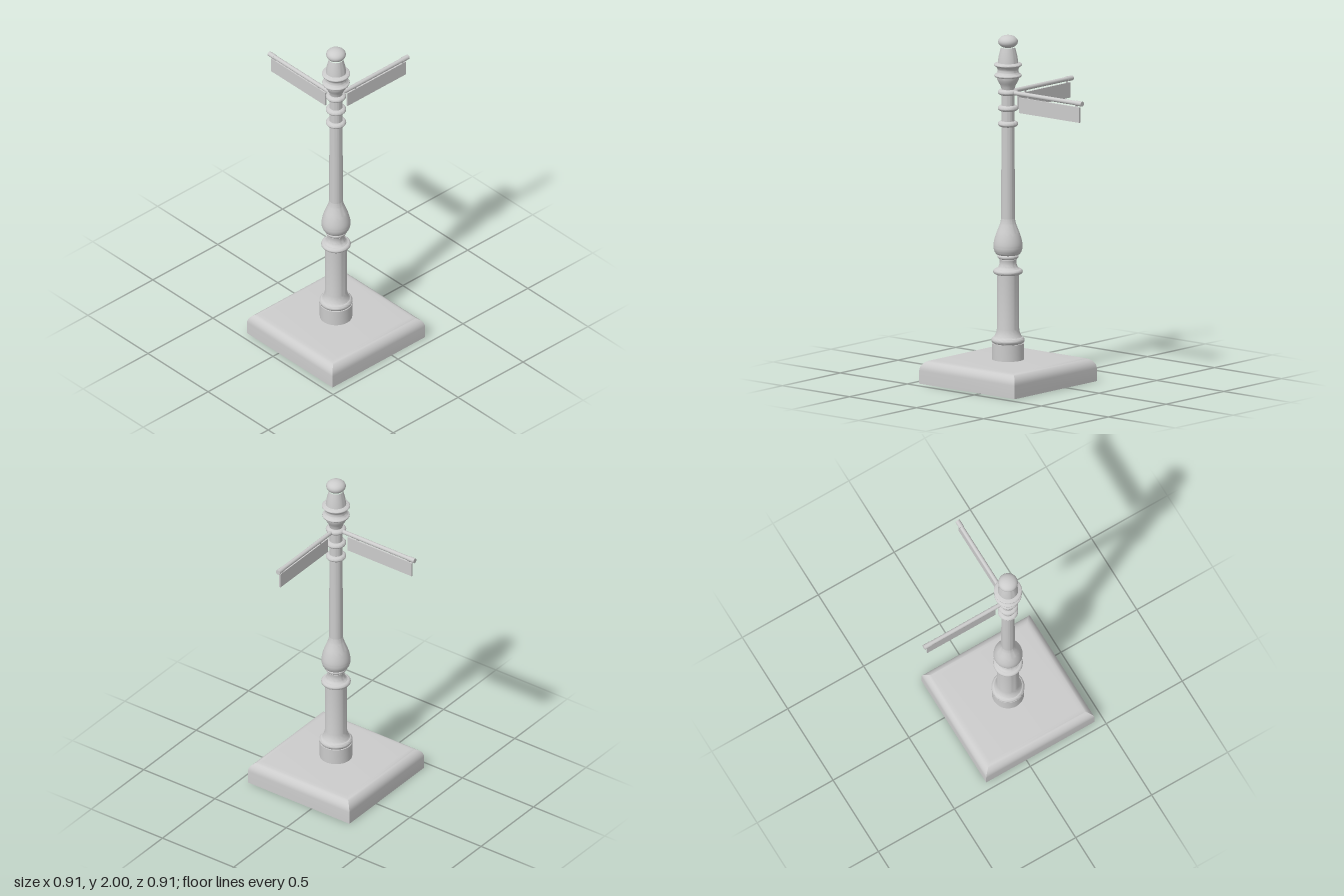
import * as THREE from 'three';
import { toCreasedNormals } from 'three/addons/utils/BufferGeometryUtils.js';

const material = new THREE.MeshStandardMaterial({ color: 0xcccccc });

function part(name, geometry, parent, x = 0, y = 0, z = 0) {
  const mesh = new THREE.Mesh(geometry, material);
  mesh.name = name;
  mesh.position.set(x, y, z);
  parent.add(mesh);
  return mesh;
}

// Turned part from [radius, height] pairs, bottom to top
function turned(profile, segments = 40, phi = 0) {
  const points = profile.map(([r, y]) => new THREE.Vector2(r, y));
  return toCreasedNormals(new THREE.LatheGeometry(points, segments, phi), 0.65);
}

// Half-round moulding as profile points
function bead(inner, outer, y, half, steps = 10) {
  return Array.from({ length: steps + 1 }, (_, i) => {
    const a = -Math.PI / 2 + (Math.PI * i) / steps;
    return [inner + (outer - inner) * Math.cos(a), y + half * Math.sin(a)];
  });
}

// Smooth curve through profile points
function smooth(points, steps = 20) {
  return new THREE.SplineCurve(points.map(([r, y]) => new THREE.Vector2(r, y)))
    .getPoints(steps).map((p) => [p.x, p.y]);
}

// Square plinth with rounded upper edges and mitred corners
function plinthGeometry(half, height, radius) {
  const profile = [[0, 0], [half, 0]];
  for (let i = 0; i <= 8; i++) {
    const a = (Math.PI / 2) * (i / 8);
    profile.push([half - radius + radius * Math.cos(a), height - radius + radius * Math.sin(a)]);
  }
  profile.push([0, height]);
  return turned(profile.map(([r, y]) => [r * Math.SQRT2, y]), 4, Math.PI / 4);
}

// Sign arm running along +x from the post axis
function signArm(name) {
  const arm = new THREE.Group();
  arm.name = name;
  const rod = part('rod', new THREE.CylinderGeometry(0.0125, 0.0125, 0.5, 20), arm, 0.3);
  rod.rotation.z = Math.PI / 2;
  const cap = part('rodEnd', new THREE.CylinderGeometry(0.0145, 0.0145, 0.045, 20), arm, 0.532);
  cap.rotation.z = Math.PI / 2;
  for (const x of [0.15, 0.51]) {
    part('hanger', new THREE.BoxGeometry(0.012, 0.03, 0.006), arm, x, -0.017);
  }
  part('signPanel', new THREE.BoxGeometry(0.45, 0.088, 0.01), arm, 0.31, -0.066);
  return arm;
}

export function createModel() {
  const model = new THREE.Group();
  model.name = 'signpost';
  const post = new THREE.Group();
  post.name = 'post';
  post.position.set(-0.1, 0, 0.092);
  model.add(post);

  part('plinth', plinthGeometry(0.356, 0.135, 0.06), post);

  // Foot and lower column
  part('foot', turned([[0.092, 0.13], [0.092, 0.228], [0.07, 0.228]]), post);
  part('lowerColumn', turned([
    ...bead(0.078, 0.094, 0.245, 0.018),
    ...smooth([[0.08, 0.263], [0.073, 0.275], [0.066, 0.295], [0.062, 0.32]], 8),
    [0.062, 0.625], ...bead(0.064, 0.084, 0.64, 0.016),
  ]), post);

  // Neck and bulb
  part('neck', turned([
    ...smooth([[0.066, 0.656], [0.054, 0.668], [0.048, 0.69], [0.05, 0.71]], 8),
    ...bead(0.048, 0.06, 0.726, 0.013), [0.05, 0.745],
  ]), post);
  part('bulb', turned(smooth([
    [0.045, 0.735], [0.068, 0.742], [0.081, 0.77], [0.081, 0.805],
    [0.07, 0.85], [0.054, 0.892], [0.044, 0.92], [0.039, 0.945],
  ], 30)), post);

  // Upper shaft and collars
  part('shaft', turned([[0.039, 0.93], [0.037, 1.73]]), post);
  for (const y of [1.49, 1.58, 1.672]) {
    part('collar', turned(bead(0.034, 0.058, y, 0.017)), post);
  }

  // Crown and finial
  part('crown', turned([
    ...smooth([[0.037, 1.69], [0.044, 1.712], [0.057, 1.735], [0.066, 1.758]], 8),
    ...bead(0.066, 0.078, 1.768, 0.009),
    ...smooth([[0.07, 1.777], [0.06, 1.79], [0.06, 1.806], [0.071, 1.822]], 8),
    ...bead(0.07, 0.08, 1.83, 0.008),
    [0.058, 1.842], [0.053, 1.88], [0.04, 1.93],
  ]), post);
  const ball = part('finialBall', new THREE.SphereGeometry(0.056, 32, 20), post, 0, 1.963);
  ball.scale.y = 0.66;

  // Two arms at a right angle: one to the left, one to the back
  for (const [name, angle] of [['leftArm', 0], ['backArm', Math.PI / 2]]) {
    const arm = signArm(name);
    arm.position.y = 1.672;
    arm.rotation.y = angle;
    post.add(arm);
  }
  return model;
}
